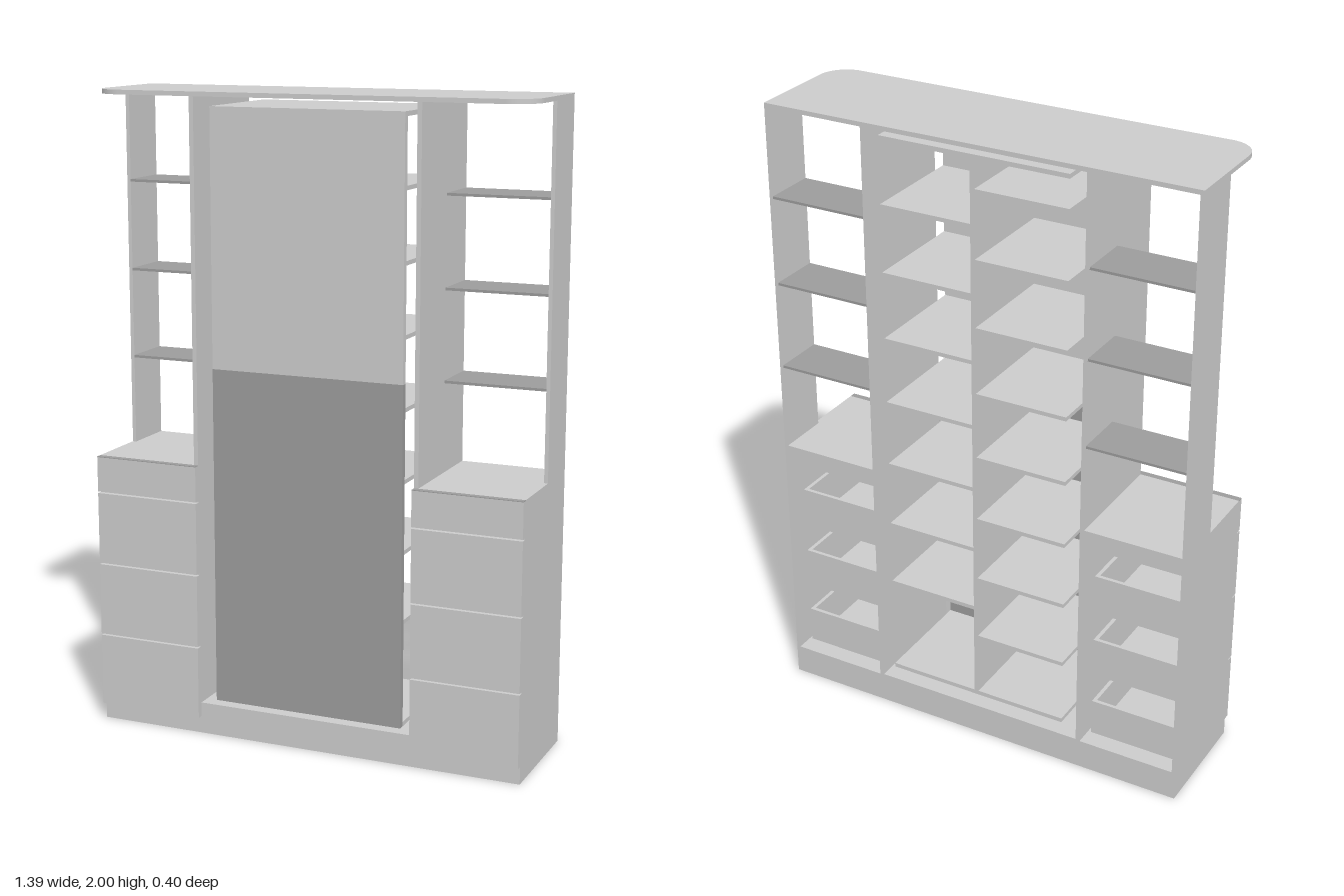
import * as THREE from 'three';

export function createModel() {
  const root = new THREE.Group();
  const panel = new THREE.MeshStandardMaterial({ color: 0xcccccc });
  panel.name = 'lightPanel';
  const dark = new THREE.MeshStandardMaterial({ color: 0x9c9c9c });
  dark.name = 'darkPanel';

  // box given by its minimum and maximum on each axis
  const slab = (name, x0, x1, y0, y1, z0, z1, mat = panel, parent = root) => {
    const mesh = new THREE.Mesh(new THREE.BoxGeometry(x1 - x0, y1 - y0, z1 - z0), mat);
    mesh.position.set((x0 + x1) / 2, (y0 + y1) / 2, (z0 + z1) / 2);
    mesh.name = name;
    parent.add(mesh);
    return mesh;
  };
  // the same box on either side of the middle
  const sided = (side, name, x0, x1, ...rest) =>
    side > 0 ? slab(name, x0, x1, ...rest) : slab(name, -x1, -x0, ...rest);

  const W = 0.697, T = 0.012, BACK = -0.2, FRONT = 0.18;
  const IN = 0.354, DIV = 0.368, COUNTER = 0.868, TOP = 1.986;

  // top board with rounded front corners
  const r = 0.088;
  const s = new THREE.Shape();
  s.moveTo(-W, -BACK);
  s.lineTo(-W, -FRONT + r);
  s.absarc(-W + r, -FRONT + r, r, Math.PI, Math.PI * 1.5, false);
  s.lineTo(W - r, -FRONT);
  s.absarc(W - r, -FRONT + r, r, Math.PI * 1.5, Math.PI * 2, false);
  s.lineTo(W, -BACK);
  s.closePath();
  const topGeo = new THREE.ExtrudeGeometry(s, { depth: 2 - TOP, bevelEnabled: false, curveSegments: 16 });
  topGeo.rotateX(-Math.PI / 2);
  const top = new THREE.Mesh(topGeo, panel);
  top.name = 'topBoard';
  top.position.y = TOP;
  root.add(top);

  // base
  slab('rearPlinth', -W + T, W - T, 0, 0.085, BACK, BACK + T);
  slab('middlePlinth', -IN, IN, 0, 0.085, FRONT - T, FRONT);
  slab('middleFloor', -IN, IN, 0.085, 0.1, BACK, FRONT);

  // drawer front limits
  const fronts = [[0.055, 0.284], [0.289, 0.518], [0.523, 0.75], [0.755, 0.866]];
  const boxes = [[0.105, 0.225], [0.325, 0.455], [0.555, 0.685], [0.775, 0.84]];

  for (const side of [1, -1]) {
    // carcass
    sided(side, 'lowerSidePanel', W - T, W, 0, COUNTER, BACK, FRONT);
    sided(side, 'upperSidePanel', W - T, W, COUNTER, TOP, BACK, -0.03);
    sided(side, 'innerPanel', IN, DIV, 0, TOP, BACK, FRONT);
    sided(side, 'counter', DIV, W - T, COUNTER - T, COUNTER, BACK, FRONT);
    sided(side, 'sideFloor', DIV, W - T, 0.085, 0.097, BACK, FRONT);
    sided(side, 'sidePlinth', DIV, W - T, 0, 0.085, FRONT - T, FRONT);

    // thin open shelves
    for (const y of [1.148, 1.428, 1.708])
      sided(side, 'sideShelf', DIV, W - T, y - 0.004, y + 0.004, BACK, -0.03, dark);

    // drawers with open boxes behind the fronts
    fronts.forEach(([y0, y1], i) => {
      sided(side, 'drawerFront', IN, W, y0, y1, FRONT, 0.2);
      const [b0, b1] = boxes[i];
      const x0 = DIV + 0.015, x1 = W - T - 0.015, z0 = -0.15;
      sided(side, 'drawerBottom', x0, x1, b0, b0 + 0.008, z0, FRONT);
      sided(side, 'drawerBack', x0, x1, b0, b1, z0, z0 + T);
      sided(side, 'drawerSide', x0, x0 + T, b0, b1, z0 + T, FRONT);
      sided(side, 'drawerSide', x1 - T, x1, b0, b1, z0 + T, FRONT);
    });
    sided(side, 'drawerTopEdge', IN, W, 0.866, COUNTER, FRONT, 0.2, dark);
  }

  // free-standing middle unit: door with shelves behind it
  const unit = new THREE.Group();
  unit.name = 'middleUnit';
  root.add(unit);
  const L = -0.29, R = 0.325, MID = (L + R) / 2, B = -0.175, Y0 = 0.125, Y1 = 1.96;
  slab('doorLower', L, R, Y0, 1.177, FRONT, 0.2, dark, unit);
  slab('doorUpper', L, R, 1.177, Y1, FRONT, 0.2, panel, unit);
  slab('unitTop', L, R, Y1 - 0.014, Y1, B, FRONT, panel, unit);
  slab('unitBottom', L, R, Y0, Y0 + 0.014, B, FRONT, panel, unit);
  slab('unitDivider', MID - 0.007, MID + 0.007, Y0 + 0.014, Y1 - 0.014, B, FRONT, panel, unit);
  for (let i = 1; i <= 8; i++) {
    const y = Y0 + 0.215 * i;
    slab('rightShelf', L, MID - 0.007, y, y + 0.013, B, FRONT, panel, unit);
    if (i < 8) slab('leftShelf', MID + 0.007, R, y + 0.107, y + 0.12, B, FRONT, panel, unit);
  }
  return root;
}
